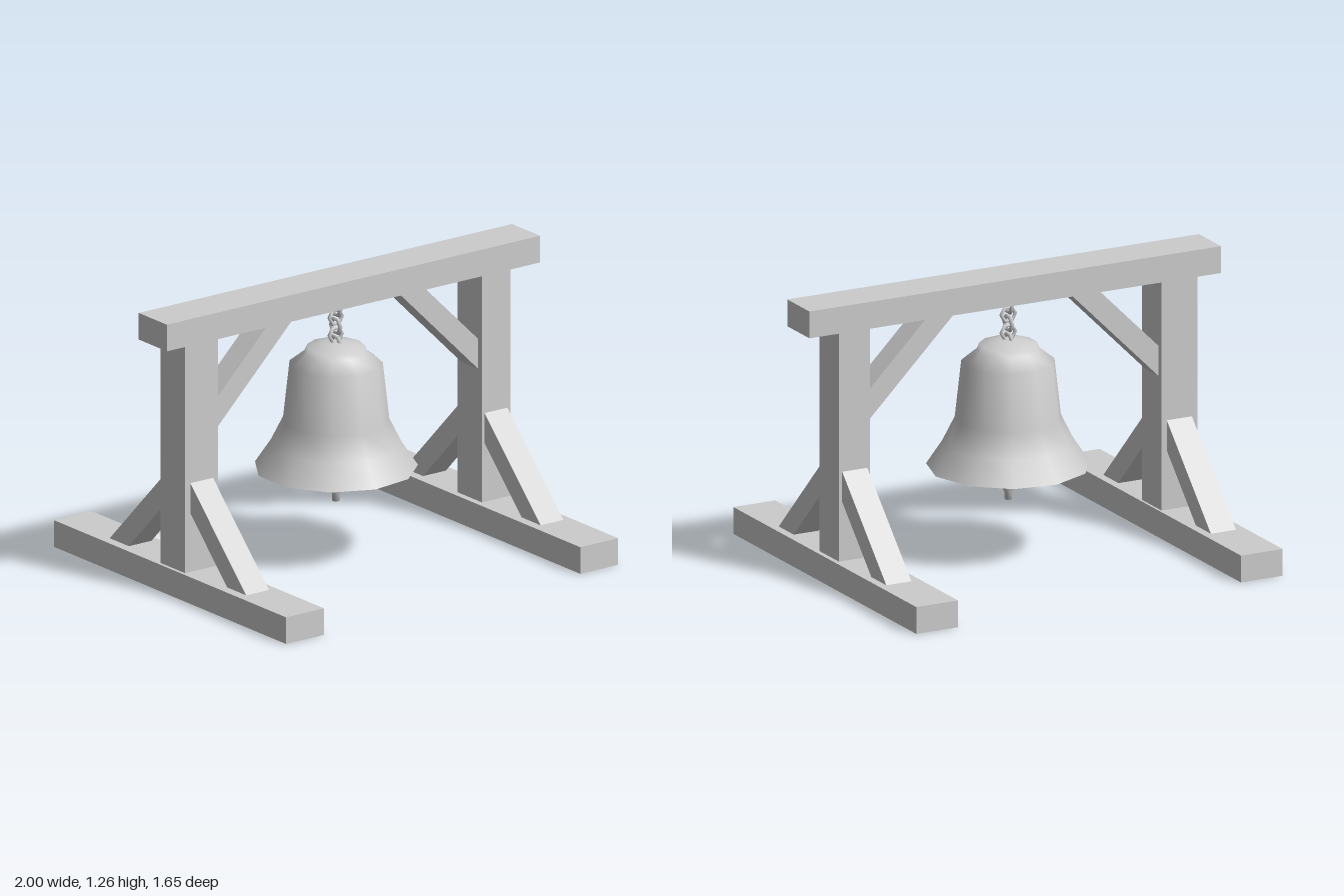
import * as THREE from 'three';

const wood = new THREE.MeshStandardMaterial({ color: 0xcccccc, flatShading: true });
const metal = new THREE.MeshStandardMaterial({ color: 0xcccccc, side: THREE.DoubleSide });

function add(parent, name, geometry, material, x = 0, y = 0, z = 0) {
  const mesh = new THREE.Mesh(geometry, material);
  mesh.name = name;
  mesh.position.set(x, y, z);
  parent.add(mesh);
  return mesh;
}

const box = (w, h, d) => new THREE.BoxGeometry(w, h, d);
const points = (list) => list.map(([x, y]) => new THREE.Vector2(x, y));

// Diagonal strut cut flush at both ends, centred on its thickness
function strut(corners, thickness) {
  const geometry = new THREE.ExtrudeGeometry(new THREE.Shape(points(corners)), {
    depth: thickness, bevelEnabled: false,
  });
  return geometry.translate(0, 0, -thickness / 2);
}

// Eleven-sided turned shape with a corner on +x
const turned = (profile, sides = 11) =>
  new THREE.LatheGeometry(points(profile), sides, Math.PI / 2);

export function createModel() {
  const model = new THREE.Group();
  model.name = 'bellStand';

  // Top beam
  add(model, 'topBeam', box(2, 0.12, 0.2), wood, 0, 1.205, 0);

  // Two end frames: foot, post and struts
  const footStrut = strut([[0.35, 0.12], [0.485, 0.12], [0.087, 0.52], [0.087, 0.385]], 0.122);
  const beamStrut = strut([[0, 0.715], [0.43, 1.145], [0.295, 1.145], [0, 0.85]], 0.12);
  const ends = [
    { side: 'right', x: -0.807, inner: -0.717, width: 0.176, turn: 0 },
    { side: 'left', x: 0.77, inner: 0.698, width: 0.152, turn: Math.PI },
  ];
  for (const { side, x, inner, width, turn } of ends) {
    const frame = new THREE.Group();
    frame.name = side + 'Frame';
    model.add(frame);
    const postX = inner + (turn ? width : -width) / 2;
    add(frame, 'foot', box(0.203, 0.12, 1.65), wood, x, 0.06, 0);
    add(frame, 'post', box(width, 1.025, 0.174), wood, postX, 0.6325, 0);
    add(frame, 'frontFootStrut', footStrut, wood, x + 0.003).rotation.y = -Math.PI / 2;
    add(frame, 'backFootStrut', footStrut, wood, x + 0.003).rotation.y = Math.PI / 2;
    add(frame, 'beamStrut', beamStrut, wood, inner).rotation.y = turn;
  }

  // Hanging bell assembly
  const bell = new THREE.Group();
  bell.name = 'bell';
  bell.position.x = -0.02;
  model.add(bell);

  // Bell shell: outer skin and inner wall meeting at the lip
  add(bell, 'bellOuter', turned([
    [0.353, 0.402], [0.283, 0.508], [0.23, 0.615], [0.202, 0.868],
    [0.136, 0.92], [0.125, 0.947], [0.05, 0.966], [0, 0.97],
  ]), metal);
  add(bell, 'bellInner', turned([
    [0, 0.93], [0.1, 0.91], [0.18, 0.86], [0.208, 0.615],
    [0.262, 0.508], [0.353, 0.402],
  ]), metal);

  // Clapper rod and bob
  add(bell, 'clapper', turned([
    [0.016, 0.94], [0.016, 0.41], [0.037, 0.365], [0.037, 0.315],
    [0.016, 0.28], [0.016, 0.25], [0, 0.25],
  ].reverse(), 8), metal);

  // Chain of hexagonal links, alternately turned
  const link = new THREE.TorusGeometry(0.034, 0.009, 6, 6);
  for (let i = 0; i < 5; i++) {
    add(bell, 'chainLink', link, metal, 0, 1.117 - i * 0.04, 0).rotation.y = i % 2 ? 0 : Math.PI / 2;
  }
  return model;
}
